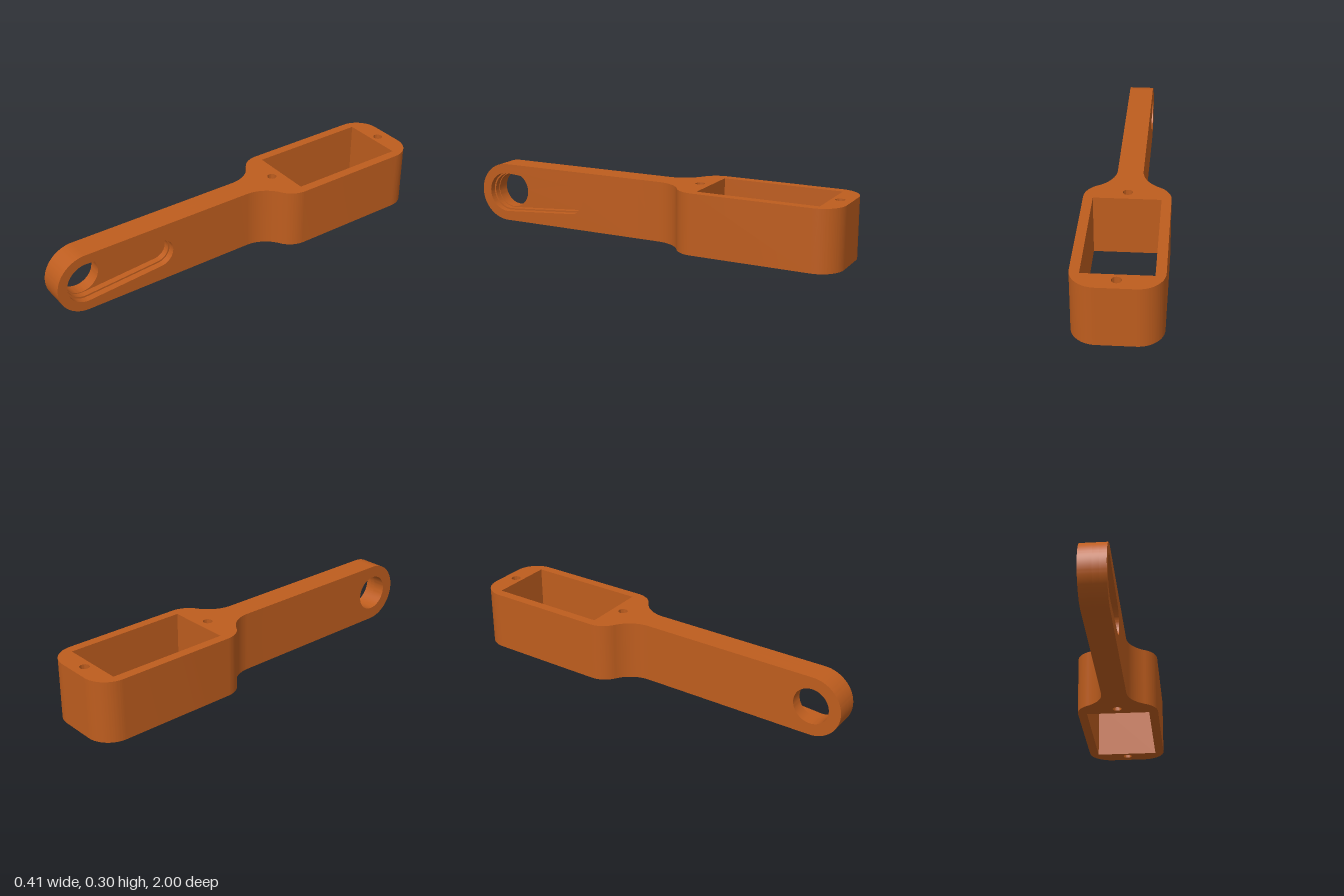
import * as THREE from 'three';
import { toCreasedNormals } from 'three/addons/utils/BufferGeometryUtils.js';

const HEIGHT = 0.3, MID = 0.15;
const ARM = 0.0625;   // half thickness of the arm
const HALF = 0.206;   // half width of the frame
const JOIN = 0.1;     // z where frame plate and arm meet
const PIVOT = 0.85;   // z of the pivot bore

function extrude(shape, depth) {
  const geo = new THREE.ExtrudeGeometry(shape, { depth, bevelEnabled: false, curveSegments: 28 });
  return toCreasedNormals(geo, 0.5);
}

function circlePath(x, y, r) {
  return new THREE.Path().absarc(x, y, r, 0, Math.PI * 2, false);
}

// Tapered slot: the hull of a large circle at the pivot and a small one
function slotPath(r1, r2) {
  const end = 0.46;
  const phi = Math.acos((r1 - r2) / (PIVOT - end));
  const path = new THREE.Path();
  path.absarc(PIVOT, MID, r1, phi - Math.PI, Math.PI - phi, false);
  path.absarc(end, MID, r2, Math.PI - phi, Math.PI + phi, false);
  path.closePath();
  return path;
}

// Plan of the rectangular frame with its flared neck (shape y is world z)
function frameShape() {
  const r = 0.12, a = Math.PI / 3, cx = HALF - r, cz = -0.29;
  const px = cx + r * Math.cos(a), pz = cz + r * Math.sin(a);
  const R = (px - ARM) / (1 - Math.cos(a));
  const nx = ARM + R, nz = pz + R * Math.sin(a);
  const s = new THREE.Shape();
  s.moveTo(ARM, JOIN);
  s.lineTo(-ARM, JOIN);
  s.absarc(-nx, nz, R, 0, -a, true);
  s.absarc(-cx, cz, r, Math.PI - a, Math.PI, false);
  s.absarc(-cx, -1 + r, r, Math.PI, Math.PI * 1.5, false);
  s.absarc(cx, -1 + r, r, -Math.PI / 2, 0, false);
  s.absarc(cx, cz, r, 0, a, false);
  s.absarc(nx, nz, R, Math.PI + a, Math.PI, true);
  s.closePath();

  // window and two screw holes
  const w = 0.16;
  s.holes.push(new THREE.Path([[-w, -0.9], [-w, -0.297], [w, -0.297], [w, -0.9]]
    .map(([x, y]) => new THREE.Vector2(x, y))));
  s.holes.push(circlePath(0, -0.94, 0.023), circlePath(0, -0.24, 0.023));
  return s;
}

// Side profile of the round-ended arm (shape x is world z)
function armShape(hole) {
  const s = new THREE.Shape();
  s.moveTo(JOIN, HEIGHT);
  s.lineTo(JOIN, 0);
  s.absarc(PIVOT, MID, MID, -Math.PI / 2, Math.PI / 2, false);
  s.closePath();
  s.holes.push(hole);
  return s;
}

export function createModel() {
  const model = new THREE.Group();
  model.name = 'leverArm';
  const orange = new THREE.MeshStandardMaterial({ color: 0xbe5d1e });
  orange.name = 'burntOrange';

  const add = (name, geo) => {
    const mesh = new THREE.Mesh(geo, orange);
    mesh.name = name;
    model.add(mesh);
  };

  add('frame', extrude(frameShape(), HEIGHT).rotateX(Math.PI / 2).translate(0, HEIGHT, 0));

  // Arm in slices across x: bored wall, recess, slightly wider recess mouth
  const slices = [
    ['armBoredWall', -ARM, 0, circlePath(PIVOT, MID, 0.09)],
    ['armRecess', 0, 0.03, slotPath(0.094, 0.064)],
    ['armRecessMouth', 0.03, ARM, slotPath(0.102, 0.072)],
  ];
  for (const [name, x0, x1, hole] of slices) {
    add(name, extrude(armShape(hole), x1 - x0).rotateY(-Math.PI / 2).translate(x1, 0, 0));
  }
  return model;
}
